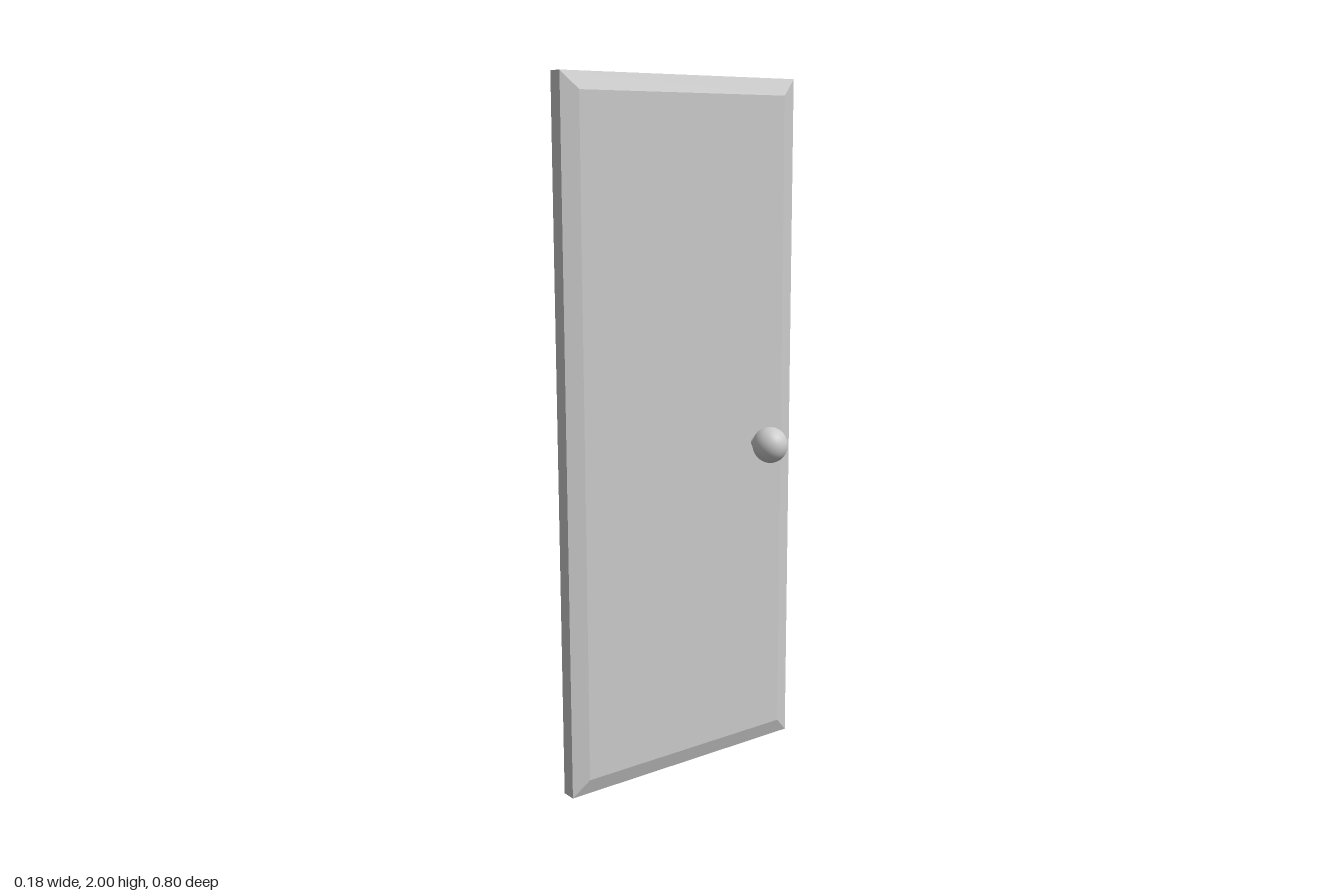
import * as THREE from 'three';

const HEIGHT = 2, DEPTH = 0.8;
const BACK = -0.09, SHOULDER = -0.047, FACE = -0.03; // x of the door's layers
const INSET = 0.048; // width of the bevelled border
const KNOB = new THREE.Vector3(0.033, 0.952, -0.255);

// Slab whose +x face is drawn in to leave a sloping border
function panelGeometry() {
  const geo = new THREE.BoxGeometry(2, HEIGHT, DEPTH, 2, 1, 1);
  const p = geo.attributes.position;
  const layers = [BACK, SHOULDER, FACE];
  for (let i = 0; i < p.count; i++) {
    const layer = Math.round(p.getX(i)) + 1;
    const inset = layer === 2 ? INSET : 0;
    p.setXYZ(i, layers[layer],
      p.getY(i) - Math.sign(p.getY(i)) * inset + HEIGHT / 2,
      p.getZ(i) - Math.sign(p.getZ(i)) * inset);
  }
  const flat = geo.toNonIndexed();
  flat.computeVertexNormals();
  return flat;
}

export function createModel() {
  const group = new THREE.Group();
  group.name = 'door';
  const material = new THREE.MeshStandardMaterial({ color: 0xcccccc });

  const add = (name, geometry) => {
    const mesh = new THREE.Mesh(geometry, material);
    mesh.name = name;
    group.add(mesh);
    return mesh;
  };

  // Door leaf
  add('doorPanel', panelGeometry());

  // Short stem from the door face into the knob
  const length = KNOB.x - FACE;
  const stem = add('knobStem', new THREE.CylinderGeometry(0.019, 0.019, length, 32));
  stem.rotation.z = -Math.PI / 2;
  stem.position.set(FACE + length / 2, KNOB.y, KNOB.z);

  // Round knob, slightly narrower across the door
  const knob = add('knob', new THREE.SphereGeometry(1, 40, 28));
  knob.scale.set(0.054, 0.053, 0.05);
  knob.position.copy(KNOB);

  return group;
}
